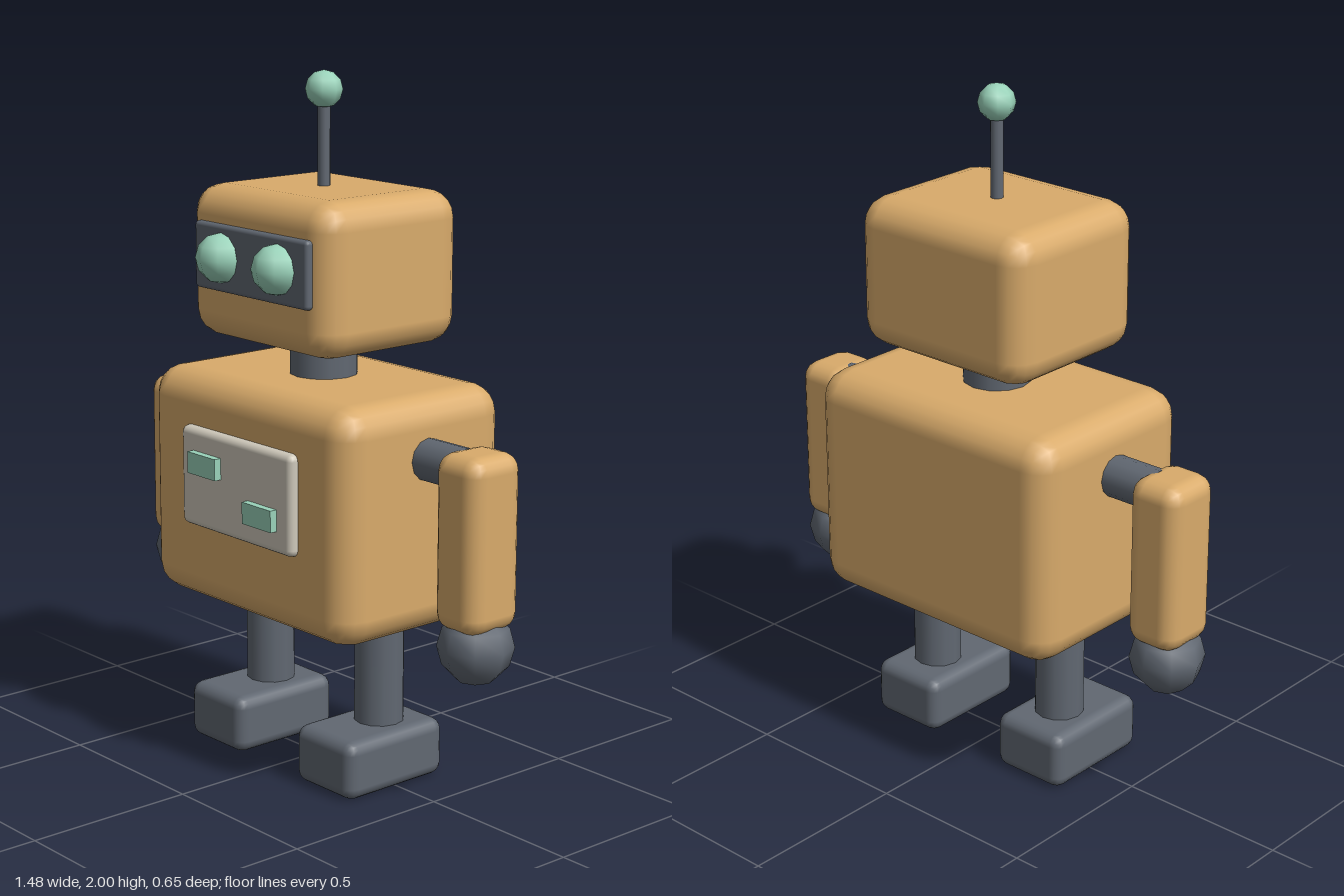
import * as THREE from 'three';
import { RoundedBoxGeometry } from 'three/addons/geometries/RoundedBoxGeometry.js';

const paint = (name, color) => {
  const m = new THREE.MeshStandardMaterial({ color });
  m.name = name;
  return m;
};

export function createModel() {
  const tan = paint('tan shell', 0xd9ab6b);
  const grey = paint('slate grey', 0x616872);
  const mint = paint('mint', 0x9ad3ba);
  const cream = paint('cream panel', 0xd0cabc);
  const robot = new THREE.Group();
  robot.name = 'robot';
  const Z = -0.024; // centre plane of body, head and limbs

  const add = (name, geometry, material, x, y, z = Z) => {
    const mesh = new THREE.Mesh(geometry, material);
    mesh.name = name;
    mesh.position.set(x, y, z);
    robot.add(mesh);
    return mesh;
  };
  const rounded = (w, h, d, r) => new RoundedBoxGeometry(w, h, d, 2, r);
  const ball = (r) => new THREE.SphereGeometry(r, 8, 6);
  const rod = (r, h) => new THREE.CylinderGeometry(r, r, h, 12);

  // Torso, neck and head
  add('torso', rounded(0.872, 0.674, 0.606, 0.085), tan, 0, 0.808);
  add('neck', rod(0.098, 0.2), grey, 0, 1.195);
  add('head', rounded(0.608, 0.434, 0.51, 0.08), tan, 0, 1.462);

  // Antenna
  add('antennaStem', rod(0.018, 0.29), grey, 0, 1.785);
  add('antennaBall', ball(0.053), mint, 0, 1.947);

  // Face
  add('visor', rounded(0.488, 0.19, 0.05, 0.012), grey, 0, 1.485, 0.222);

  // Chest panel with two buttons
  add('chestPanel', rounded(0.488, 0.29, 0.06, 0.02), cream, 0, 0.855, 0.275);
  const button = new THREE.BoxGeometry(0.124, 0.062, 0.04);
  add('rightButton', button, mint, -0.122, 0.904, 0.307);
  add('leftButton', button, mint, 0.122, 0.807, 0.307);

  // Mirrored parts
  for (const [side, s] of [['left', 1], ['right', -1]]) {
    add(side + 'Eye', ball(0.071), mint, s * 0.122, 1.488, 0.25);
    add(side + 'Shoulder', rod(0.06, 0.22), grey, s * 0.48, 0.975).rotation.z = Math.PI / 2;
    add(side + 'Arm', rounded(0.168, 0.495, 0.19, 0.05), tan, s * 0.632, 0.787);
    add(side + 'Hand', ball(0.107), grey, s * 0.632, 0.489);
    add(side + 'Leg', rod(0.072, 0.4), grey, s * 0.242, 0.33);
    add(side + 'Foot', rounded(0.242, 0.17, 0.362, 0.035), grey, s * 0.243, 0.088, 0.012);
  }
  return robot;
}
